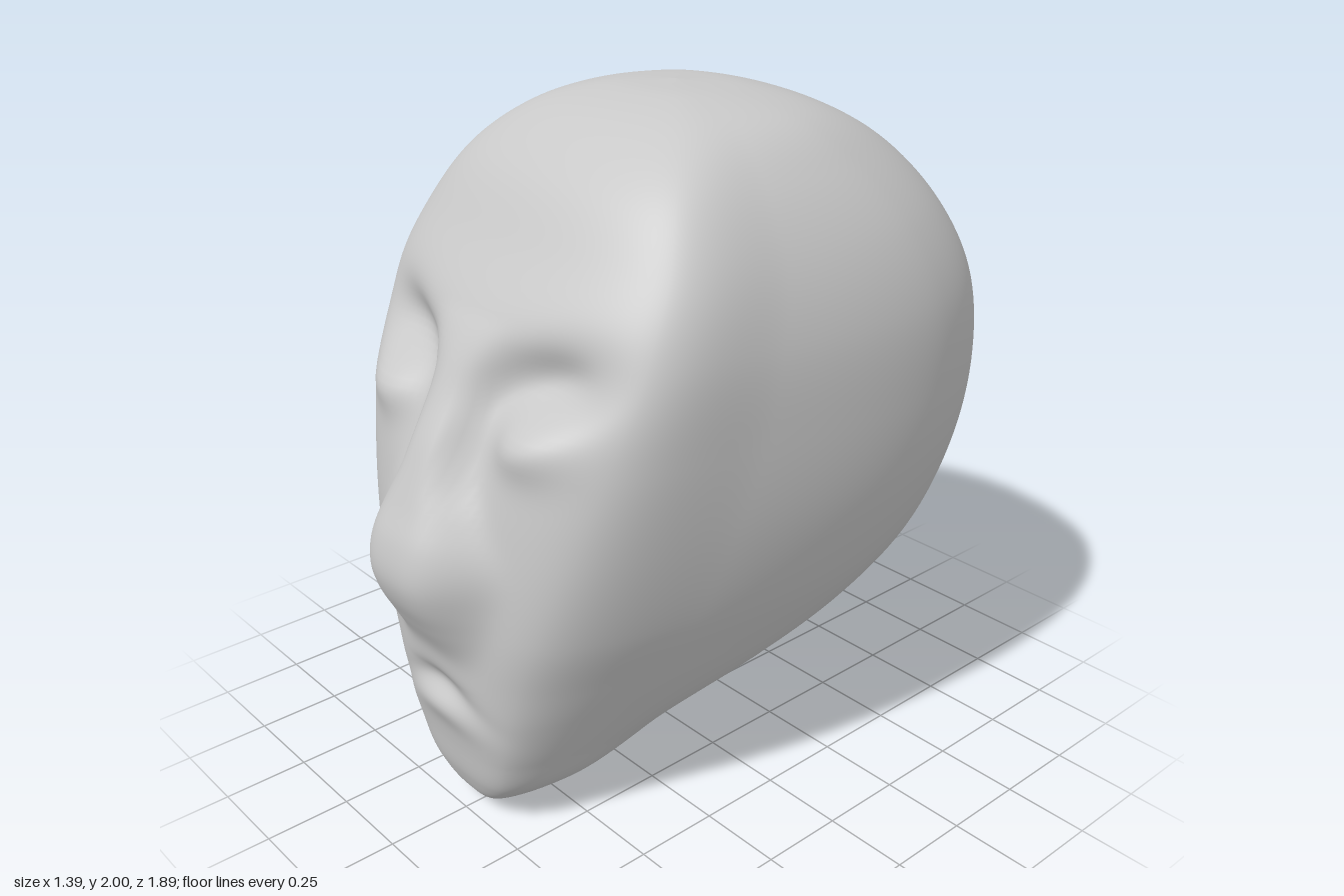
import * as THREE from 'three';

// Each level: y, brow-line z, face corner x z, cheek x z, widest x z, back z
const LEVELS = [
  [0, 0.6, 0, 0.59, 0, 0.57, 0, 0.55, 0.54],
  [0.04, 0.71, 0.07, 0.69, 0.1, 0.52, 0.08, 0.42, 0.33],
  [0.13, 0.76, 0.16, 0.73, 0.225, 0.52, 0.19, 0.3, 0.14],
  [0.25, 0.785, 0.21, 0.745, 0.3, 0.47, 0.29, 0.2, -0.02],
  [0.4, 0.81, 0.26, 0.75, 0.385, 0.42, 0.42, -0.02, -0.34],
  [0.52, 0.82, 0.3, 0.745, 0.45, 0.38, 0.5, -0.2, -0.65],
  [0.7, 0.815, 0.37, 0.73, 0.535, 0.33, 0.58, -0.37, -0.81],
  [0.95, 0.795, 0.45, 0.685, 0.605, 0.27, 0.65, -0.43, -0.915],
  [1.2, 0.75, 0.51, 0.62, 0.64, 0.2, 0.678, -0.45, -0.947],
  [1.45, 0.67, 0.54, 0.53, 0.64, 0.15, 0.67, -0.43, -0.9],
  [1.65, 0.54, 0.51, 0.42, 0.59, 0.1, 0.61, -0.36, -0.79],
  [1.82, 0.42, 0.42, 0.32, 0.49, 0.08, 0.5, -0.26, -0.63],
  [1.93, 0.27, 0.3, 0.2, 0.37, 0.05, 0.38, -0.17, -0.43],
  [1.985, 0.1, 0.16, 0.07, 0.2, 0, 0.2, -0.1, -0.25],
  [2, -0.06, 0, -0.06, 0, -0.06, 0, -0.06, -0.06],
];
const ROWS = 182, COLS = 240;

// Closed ring of ten control points for one level
function ringPoints([y, zFront, xa, za, xb, zb, xc, zc, zBack]) {
  const side = [[xa, za], [xb, zb], [xc, zc], [xc * 0.72, zc + (zBack - zc) * 0.71]];
  return [
    [0, zFront], ...side, [0, zBack],
    ...side.slice().reverse().map(([x, z]) => [-x, z]),
  ].map(([x, z]) => new THREE.Vector3(x, y, z));
}

// Smooth function of y through [y, value] pairs, clamped at both ends
function spline(pairs) {
  const curve = new THREE.CubicInterpolant(pairs.map((p) => p[0]), pairs.map((p) => p[1]), 1);
  return (y) => curve.evaluate(y)[0];
}

const bump = (x, y, cx, cy, sx, sy) => Math.exp(-(((x - cx) / sx) ** 2) - ((y - cy) / sy) ** 2);

const noseHeight = spline([[0.48, 0], [0.58, 0.015], [0.68, 0.07], [0.76, 0.115], [0.83, 0.137],
  [0.93, 0.132], [1.02, 0.105], [1.1, 0.085], [1.2, 0.065], [1.35, 0.03], [1.5, 0]]);
const noseWidth = spline([[0.55, 0.15], [0.75, 0.19], [0.88, 0.2], [1, 0.16], [1.1, 0.115], [1.2, 0.095], [1.4, 0.13]]);

// Forward offset that sculpts nose, eye sockets, eyes and mouth
function faceRelief(x, y) {
  const ax = Math.abs(x);
  let d = noseHeight(y) * Math.exp(-((ax / noseWidth(y)) ** 4));
  const slope = 0.2 * (ax - 0.27);
  d -= 0.095 * bump(ax, y - slope, 0.28, 1.36, 0.17, 0.1);
  d -= 0.03 * bump(ax, y, 0.15, 1.22, 0.08, 0.14);
  d += 0.05 * bump(ax, y, 0.3, 1.25, 0.12, 0.08);
  const arc = y + 1.5 * x * x;
  d -= 0.03 * bump(x, arc, 0, 0.455, 0.13, 0.045);
  d += 0.02 * bump(x, arc, 0, 0.39, 0.13, 0.06);
  return d;
}

// Lofted skull with the face pressed into its front
function headGeometry() {
  const rings = LEVELS.map(ringPoints);
  const rails = rings[0].map((_, i) => new THREE.CatmullRomCurve3(rings.map((r) => r[i])));
  const pos = [], index = [];
  for (let r = 0; r <= ROWS; r++) {
    const ring = new THREE.CatmullRomCurve3(rails.map((c) => c.getPoint(r / ROWS)), true);
    for (let c = 0; c < COLS; c++) {
      const p = ring.getPoint(c / COLS);
      const mask = THREE.MathUtils.smoothstep(p.z, 0.3, 0.5);
      pos.push(p.x, THREE.MathUtils.clamp(p.y, 0, 2), p.z + mask * faceRelief(p.x, p.y));
      if (r < ROWS) {
        const a = r * COLS + c, b = r * COLS + ((c + 1) % COLS);
        index.push(a, b, b + COLS, a, b + COLS, a + COLS);
      }
    }
  }
  const geo = new THREE.BufferGeometry();
  geo.setAttribute('position', new THREE.Float32BufferAttribute(pos, 3));
  geo.setIndex(index);
  geo.computeVertexNormals();
  return geo;
}

export function createModel() {
  const clay = new THREE.MeshStandardMaterial({ color: 0xc8c8c8 });
  clay.name = 'grey clay';
  const head = new THREE.Mesh(headGeometry(), clay);
  head.name = 'head';
  const model = new THREE.Group();
  model.name = 'sculptedHead';
  model.add(head);
  return model;
}
